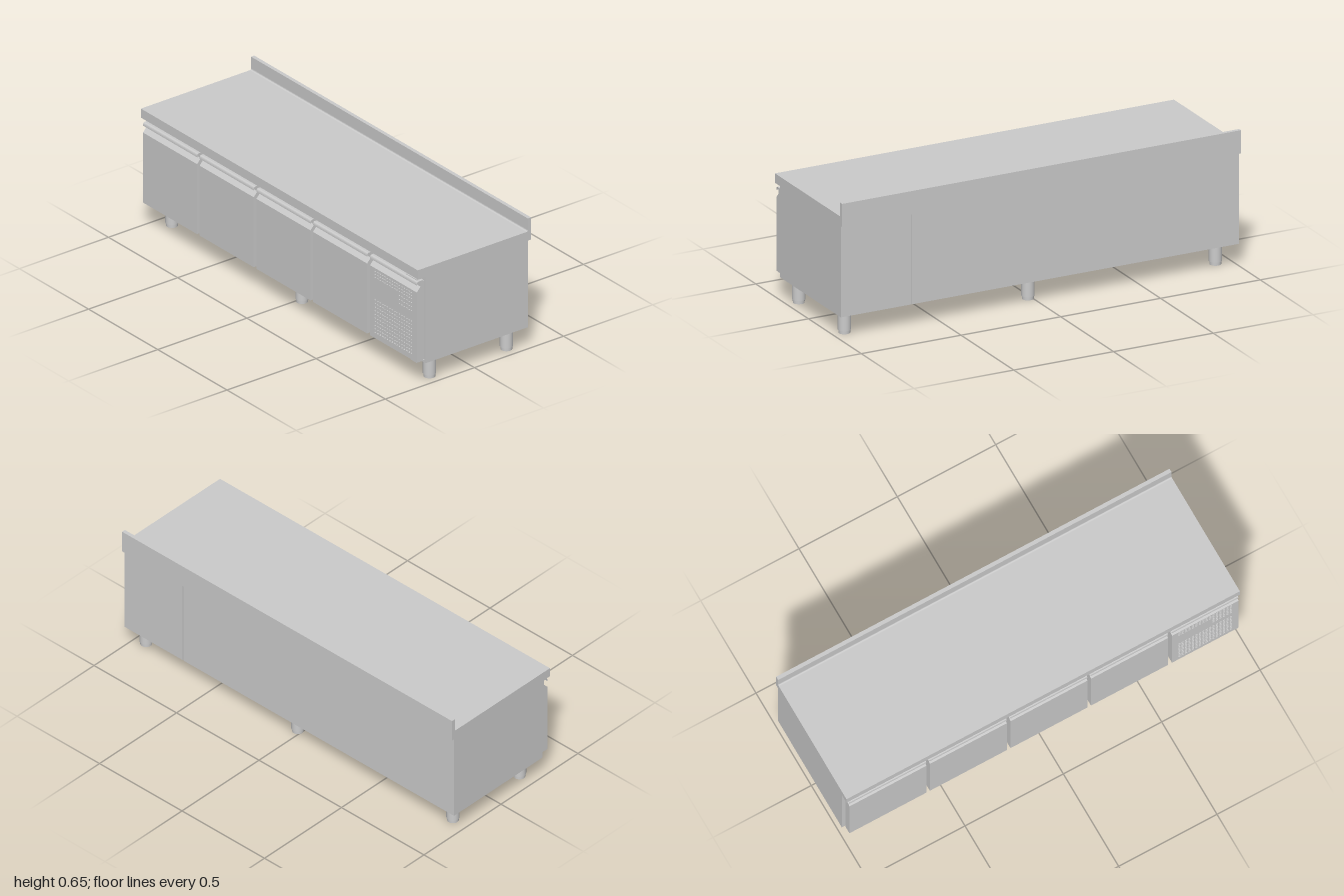
import * as THREE from 'three';

const steel = new THREE.MeshStandardMaterial({ color: 0xcccccc });

function add(parent, name, geometry) {
  const mesh = new THREE.Mesh(geometry, steel);
  mesh.name = name;
  parent.add(mesh);
  return mesh;
}

// Box given by its limits on each axis
function block(parent, name, [x0, x1], [y0, y1], [z0, z1]) {
  const g = new THREE.BoxGeometry(x1 - x0, y1 - y0, z1 - z0);
  g.translate((x0 + x1) / 2, (y0 + y1) / 2, (z0 + z1) / 2);
  return add(parent, name, g);
}

// Profile drawn in (z, y) and swept along x
function sweep(parent, name, shape, x0, x1) {
  const g = new THREE.ExtrudeGeometry(shape, { depth: x1 - x0, bevelEnabled: false, curveSegments: 6 });
  g.rotateY(-Math.PI / 2);
  g.translate(x1, 0, 0);
  return add(parent, name, g);
}

function polygon(points) {
  return new THREE.Shape(points.map(([a, b]) => new THREE.Vector2(a, b)));
}

// Thin curled lip above the finger recess
function lipShape() {
  const s = new THREE.Shape();
  s.moveTo(0.296, 0.518);
  s.lineTo(0.308, 0.518);
  s.quadraticCurveTo(0.316, 0.517, 0.316, 0.504);
  s.lineTo(0.318, 0.504);
  s.quadraticCurveTo(0.318, 0.521, 0.308, 0.521);
  s.lineTo(0.296, 0.521);
  return s;
}

function rectHole(x0, x1, y0, y1) {
  return new THREE.Path([[x0, y0], [x1, y0], [x1, y1], [x0, y1]].map(([a, b]) => new THREE.Vector2(a, b)));
}

function makeDrawer(x0, x1) {
  const drawer = new THREE.Group();
  drawer.name = 'drawer';
  sweep(drawer, 'drawerFront', polygon([[0.282, 0.122], [0.318, 0.122], [0.318, 0.47],
    [0.297, 0.493], [0.297, 0.521], [0.282, 0.521]]), x0, x1);
  sweep(drawer, 'handleLip', lipShape(), x0, x1);
  block(drawer, 'gasket', [x0 + 0.006, x1 - 0.006], [0.127, 0.514], [0.271, 0.283]);
  return drawer;
}

function makeVentDoor(x0, x1) {
  const door = new THREE.Group();
  door.name = 'ventDoor';
  // Perforated front sheet
  const sheet = polygon([[x0, 0.122], [x1, 0.122], [x1, 0.47], [x0, 0.47]]);
  const cols = 16, left = 0.684, pitch = 0.279 / cols;
  const perforate = (firstCol, bottom, top, rows) => {
    const step = (top - bottom) / rows;
    for (let r = 0; r < rows; r++) {
      for (let c = firstCol; c < cols; c++) {
        const x = left + c * pitch, y = bottom + r * step;
        sheet.holes.push(rectHole(x + 0.003, x + pitch - 0.003, y + 0.003, y + step - 0.003));
      }
    }
  };
  perforate(0, 0.146, 0.326, 10);
  perforate(10, 0.36, 0.42, 3);
  perforate(0, 0.42, 0.466, 3);
  const g = new THREE.ExtrudeGeometry(sheet, { depth: 0.005, bevelEnabled: false });
  g.translate(0, 0, 0.313);
  add(door, 'perforatedSheet', g);
  // Folded edges, backing and handle
  block(door, 'leftEdge', [x0, x0 + 0.008], [0.122, 0.47], [0.282, 0.313]);
  block(door, 'rightEdge', [x1 - 0.008, x1], [0.122, 0.47], [0.282, 0.313]);
  block(door, 'bottomEdge', [x0 + 0.008, x1 - 0.008], [0.122, 0.13], [0.282, 0.313]);
  block(door, 'backing', [x0 + 0.008, x1 - 0.008], [0.13, 0.47], [0.282, 0.286]);
  sweep(door, 'handleSlope', polygon([[0.282, 0.47], [0.318, 0.47], [0.297, 0.493],
    [0.297, 0.521], [0.282, 0.521]]), x0, x1);
  sweep(door, 'handleLip', lipShape(), x0, x1);
  block(door, 'gasket', [x0 + 0.006, x1 - 0.006], [0.127, 0.514], [0.271, 0.283]);
  return door;
}

function makeHinge(name, y, sign, x0) {
  const hinge = new THREE.Group();
  hinge.name = name;
  const span = (a, b) => [Math.min(y + sign * a, y + sign * b), Math.max(y + sign * a, y + sign * b)];
  block(hinge, 'hingeArm', [x0, 0.985], span(0, 0.003), [0.272, 0.313]);
  block(hinge, 'hingeBracket', [x0 + 0.02, 0.99], span(-0.002, 0.008), [0.27, 0.277]);
  const pin = add(hinge, 'hingePin', new THREE.CylinderGeometry(0.004, 0.004, 0.008, 12));
  pin.position.set(0.975, y - sign * 0.003, 0.303);
  return hinge;
}

function makeLeg(x, z) {
  const leg = new THREE.Group();
  leg.name = 'leg';
  block(leg, 'mountingPlate', [-0.036, 0.036], [0.099, 0.107], [-0.036, 0.036]);
  const tube = add(leg, 'legTube', new THREE.CylinderGeometry(0.03, 0.03, 0.084, 32));
  tube.position.y = 0.058;
  const foot = add(leg, 'adjustableFoot', new THREE.CylinderGeometry(0.027, 0.0265, 0.017, 32));
  foot.position.y = 0.0085;
  leg.position.set(x, 0, z);
  return leg;
}

export function createModel() {
  const model = new THREE.Group();
  model.name = 'refrigeratedCounter';

  // Worktop with coved upstand along the back
  const top = new THREE.Shape();
  top.moveTo(-0.318, 0.538);
  top.lineTo(0.318, 0.538);
  top.lineTo(0.318, 0.583);
  top.lineTo(-0.292, 0.583);
  top.quadraticCurveTo(-0.3, 0.583, -0.3, 0.591);
  top.lineTo(-0.3, 0.648);
  top.lineTo(-0.318, 0.648);
  sweep(model, 'worktop', top, -1, 1);

  // Cabinet and the two back panels with their seam
  block(model, 'cabinet', [-0.998, 0.998], [0.106, 0.538], [-0.293, 0.272]);
  block(model, 'backPanel', [-0.998, 0.643], [0.106, 0.538], [-0.303, -0.293]);
  block(model, 'compressorBackPanel', [0.647, 0.998], [0.106, 0.538], [-0.303, -0.293]);

  // Four drawers and the ventilated compressor door
  for (const [x0, x1] of [[-0.985, -0.594], [-0.576, -0.185], [-0.166, 0.225], [0.243, 0.634]]) {
    model.add(makeDrawer(x0, x1));
  }
  model.add(makeVentDoor(0.655, 0.993));
  model.add(makeHinge('topHinge', 0.526, 1, 0.91));
  model.add(makeHinge('bottomHinge', 0.118, -1, 0.94));

  // Six legs
  for (const x of [-0.92, 0.02, 0.94]) {
    for (const z of [0.206, -0.226]) model.add(makeLeg(x, z));
  }
  return model;
}
